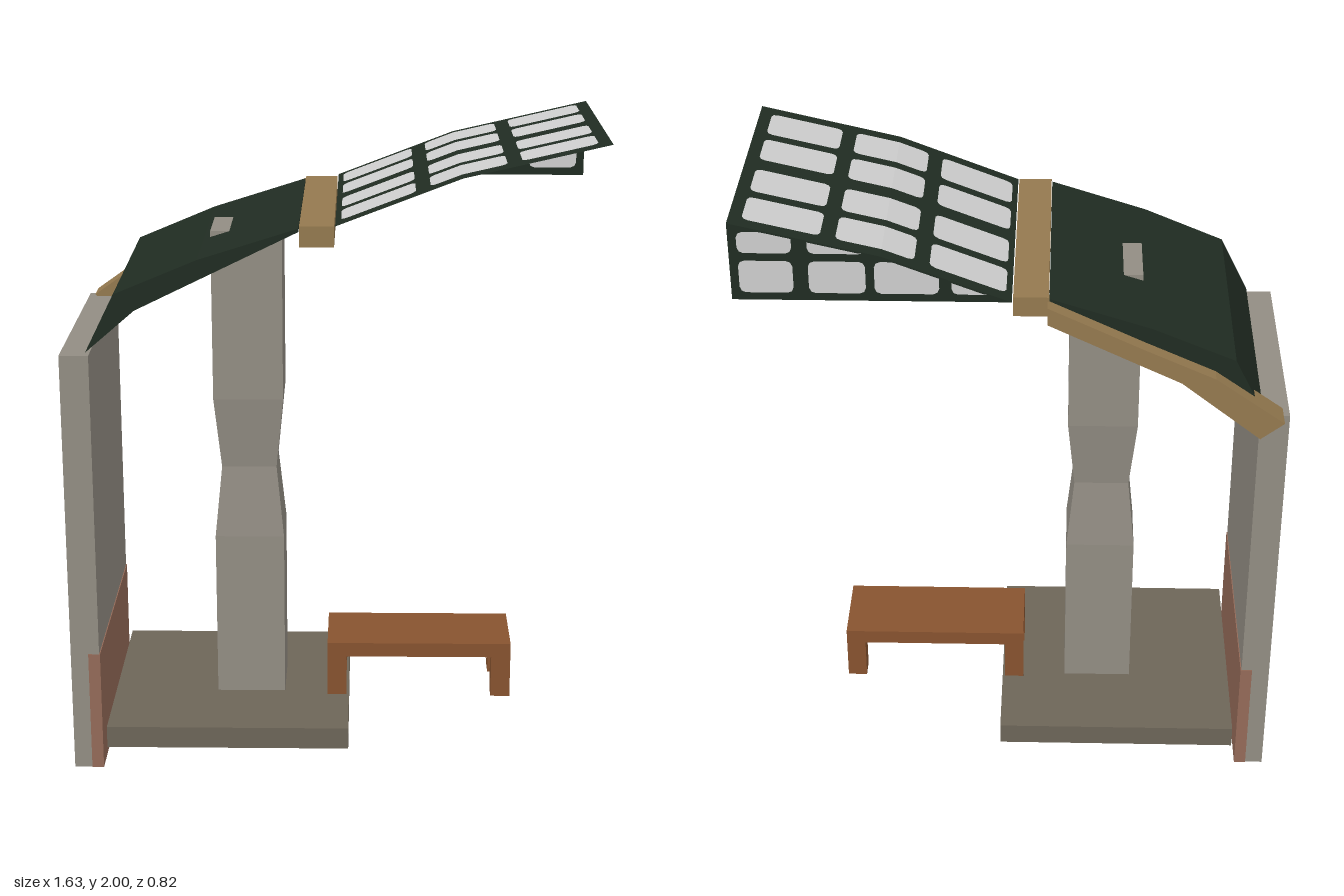
import * as THREE from 'three';

const mat = (name, color, side = THREE.FrontSide) => {
  const m = new THREE.MeshStandardMaterial({ color, side });
  m.name = name;
  return m;
};

export function createModel() {
  const model = new THREE.Group();
  model.name = 'shelter';

  const concrete = mat('concrete grey', 0x928d83);
  const stone = mat('paving stone', 0x6d6558);
  const brick = mat('brick red', 0x946a58);
  const benchWood = mat('bench wood', 0x87532f);
  const timber = mat('tan timber', 0x94794f);
  const green = mat('dark green', 0x202c22, THREE.DoubleSide);
  const glass = mat('pale cell', 0xcecece, THREE.DoubleSide);

  const add = (name, geometry, material, parent = model) => {
    const mesh = new THREE.Mesh(geometry, material);
    mesh.name = name;
    parent.add(mesh);
    return mesh;
  };

  // Box given by its limits on each axis
  const box = (name, [x0, x1], [y0, y1], [z0, z1], material, parent) => {
    const g = new THREE.BoxGeometry(x1 - x0, y1 - y0, z1 - z0);
    g.translate((x0 + x1) / 2, (y0 + y1) / 2, (z0 + z1) / 2);
    return add(name, g, material, parent);
  };

  // Side profile in x,y pulled along z
  const prism = (name, points, z0, z1, material) => {
    const shape = new THREE.Shape(points.map(p => new THREE.Vector2(...p)));
    const g = new THREE.ExtrudeGeometry(shape, { depth: z1 - z0, bevelEnabled: false });
    g.translate(0, 0, z0);
    return add(name, g, material);
  };

  // Strip of quads between two edge curves, sampled at stations
  const strip = (stations, edgeA, edgeB) => {
    const pos = [], index = [];
    stations.forEach((s, i) => {
      pos.push(...edgeA(s), ...edgeB(s));
      if (i) {
        const a = 2 * i - 2;
        index.push(a, a + 1, a + 2, a + 1, a + 3, a + 2);
      }
    });
    const g = new THREE.BufferGeometry();
    g.setAttribute('position', new THREE.Float32BufferAttribute(pos, 3));
    g.setIndex(index);
    const flat = g.toNonIndexed();
    flat.computeVertexNormals();
    return flat;
  };

  // Wall, brick base and floor
  box('wall', [-0.82, -0.731], [0, 1.36], [-0.36, 0.41], concrete);
  box('brickBase', [-0.765, -0.728], [0, 0.39], [-0.362, 0.412], brick);
  box('floorSlab', [-0.715, 0.05], [0.07, 0.14], [-0.36, 0.41], stone);

  // Pillar with a narrowed waist
  const levels = [0.14, 0.68, 0.91, 1.14, 1.68];
  const pillar = new THREE.BoxGeometry(0.22, 1, 0.21, 1, 4, 1);
  const p = pillar.attributes.position;
  for (let i = 0; i < p.count; i++) {
    const level = Math.round((p.getY(i) + 0.5) * 4);
    const k = level === 2 ? 0.79 : 1;
    p.setXYZ(i, p.getX(i) * k - 0.27, levels[level], p.getZ(i) * k + 0.022);
  }
  const pillarFlat = pillar.toNonIndexed();
  pillarFlat.computeVertexNormals();
  add('pillar', pillarFlat, concrete);

  // Bench
  const bench = new THREE.Group();
  bench.name = 'bench';
  model.add(bench);
  box('benchSeat', [-0.02, 0.575], [0.275, 0.322], [-0.1, 0.155], benchWood, bench);
  for (const x of [[-0.02, 0.042], [0.513, 0.575]])
    for (const z of [[-0.1, -0.038], [0.093, 0.155]])
      box('benchLeg', x, [0.138, 0.275], z, benchWood, bench);

  // Green roof, cross beam and back rafter
  prism('roof', [[-0.74, 1.37], [-0.59, 1.5], [-0.1, 1.74], [-0.1, 1.75], [-0.4, 1.655], [-0.65, 1.55]],
    -0.365, 0.41, green);
  box('crossBeam', [-0.098, 0.005], [1.695, 1.757], [-0.37, 0.412], timber);
  prism('rafter', [[-0.73, 1.31], [-0.49, 1.5], [-0.375, 1.555], [-0.095, 1.69], [-0.095, 1.745],
    [-0.38, 1.61], [-0.59, 1.515], [-0.8, 1.365]], -0.413, -0.325, timber);

  // Raised canopy: bent sheet with one upright side at the back
  const xBend = 0.38, xEnd = 0.812, yLow = 1.757;
  const canopyY = x => x < xBend
    ? yLow + (x - 0.008) / (xBend - 0.008) * 0.143
    : 1.9 + (x - xBend) / (xEnd - xBend) * 0.1;
  const canopyX = [0.008, xBend, xEnd];
  add('canopySheet', strip(canopyX, x => [x, canopyY(x), 0.41], x => [x, canopyY(x), -0.4]), green);
  add('canopySide', strip(canopyX, x => [x, yLow, -0.4], x => [x, canopyY(x), -0.4]), green);

  // How far a rounded cell's edge draws in near its ends
  const R = 0.018;
  const inset = (x, a, b) => {
    const d = Math.min(R, x - a, b - x);
    return R - Math.sqrt(Math.max(0, R * R - (R - d) ** 2));
  };
  const cellStations = (a, b) => {
    const s = [a, a + R * 0.3, a + R, b - R, b - R * 0.3, b];
    for (let i = 1; i < 8; i++) s.push(a + R + (b - a - 2 * R) * i / 8);
    if (a < xBend && b > xBend) s.push(xBend);
    return s.sort((u, v) => u - v);
  };

  // Pale cells on both faces of the sheet and the side
  const cells = new THREE.Group();
  cells.name = 'canopyCells';
  model.add(cells);
  for (const off of [-0.003, 0.003]) {
    for (const [a, b] of [[0.025, 0.245], [0.288, 0.512], [0.555, 0.775]])
      for (const [z0, z1] of [[-0.36, -0.217], [-0.178, -0.032], [0.035, 0.178], [0.217, 0.362]])
        add('topCell', strip(cellStations(a, b),
          x => [x, canopyY(x) + off, z1 - inset(x, a, b)],
          x => [x, canopyY(x) + off, z0 + inset(x, a, b)]), glass, cells);

    for (const [a, b] of [[0.045, 0.18], [0.215, 0.4], [0.425, 0.588], [0.632, 0.787]])
      for (const [y0, y1] of [[1.782, 1.884], [1.908, 1.975]]) {
        const low = x => y0 + inset(x, a, b);
        const high = x => Math.max(low(x), Math.min(y1 - inset(x, a, b), canopyY(x) - 0.004));
        if (canopyY(b) - 0.004 > y0 + R)
          add('sideCell', strip(cellStations(a, b),
            x => [x, low(x), -0.4 + off], x => [x, high(x), -0.4 + off]), glass, cells);
      }
  }

  return model;
}
